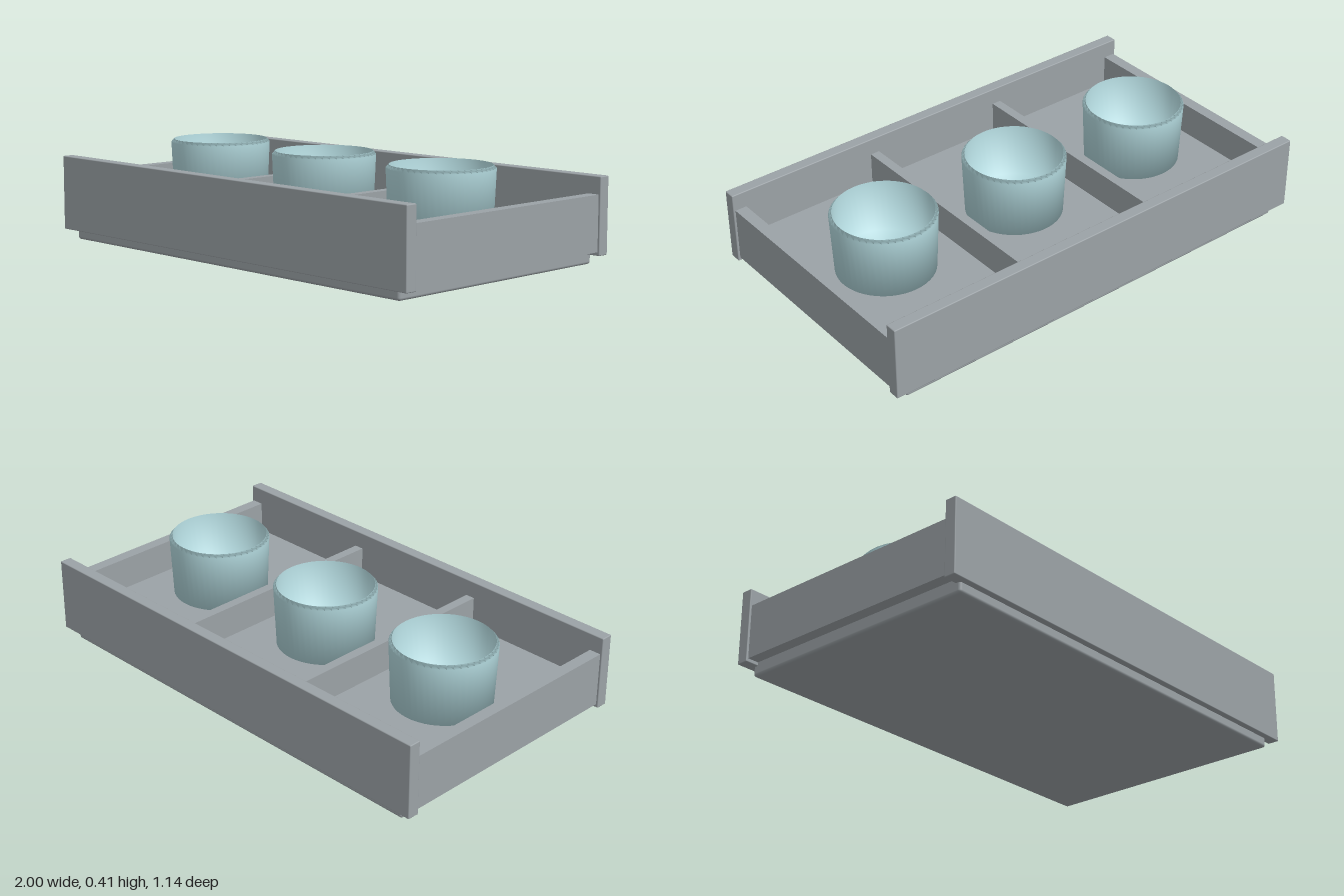
import * as THREE from 'three';
import { RoundedBoxGeometry } from 'three/addons/geometries/RoundedBoxGeometry.js';

export function createModel() {
  const group = new THREE.Group();
  group.name = 'cupTray';

  const trayGrey = new THREE.MeshStandardMaterial({ color: 0x9ba2a6 });
  trayGrey.name = 'trayGrey';
  const cupBlue = new THREE.MeshStandardMaterial({ color: 0xb2d8dd });
  cupBlue.name = 'cupBlue';

  function add(name, geometry, material, x, y, z) {
    const mesh = new THREE.Mesh(geometry, material);
    mesh.name = name;
    mesh.position.set(x, y, z);
    group.add(mesh);
  }

  // Thick board with slightly rounded edges; its top is the tray floor
  const floorY = 0.15;
  add('base', new RoundedBoxGeometry(1.884, floorY, 1.084, 3, 0.012), trayGrey, 0, floorY / 2, 0);

  // Long rails, taller than the ends
  const rail = new RoundedBoxGeometry(2, 0.312, 0.05, 2, 0.004);
  add('frontRail', rail, trayGrey, 0, 0.196, 0.543);
  add('backRail', rail, trayGrey, 0, 0.196, -0.543);

  // End walls and the dividers between compartments
  const endWall = new THREE.BoxGeometry(0.05, 0.226, 1.04);
  const divider = new THREE.BoxGeometry(0.04, 0.226, 1.04);
  for (const [side, s] of [['left', 1], ['right', -1]]) {
    add(side + 'EndWall', endWall, trayGrey, s * 0.966, 0.168, 0);
    add(side + 'Divider', divider, trayGrey, s * 0.32, 0.168, 0);
  }

  // Hollow cups: up the outside, over the bevelled lip, down to the inner floor
  const profile = [
    [0, floorY], [0.2, floorY], [0.211, 0.4], [0.199, 0.413], [0.185, 0.19], [0, 0.19],
  ].map(([r, y]) => new THREE.Vector2(r, y));
  const cup = new THREE.LatheGeometry(profile, 48);
  ['rightCup', 'middleCup', 'leftCup'].forEach((name, i) => {
    add(name, cup, cupBlue, (i - 1) * 0.64, 0, 0);
  });

  return group;
}
